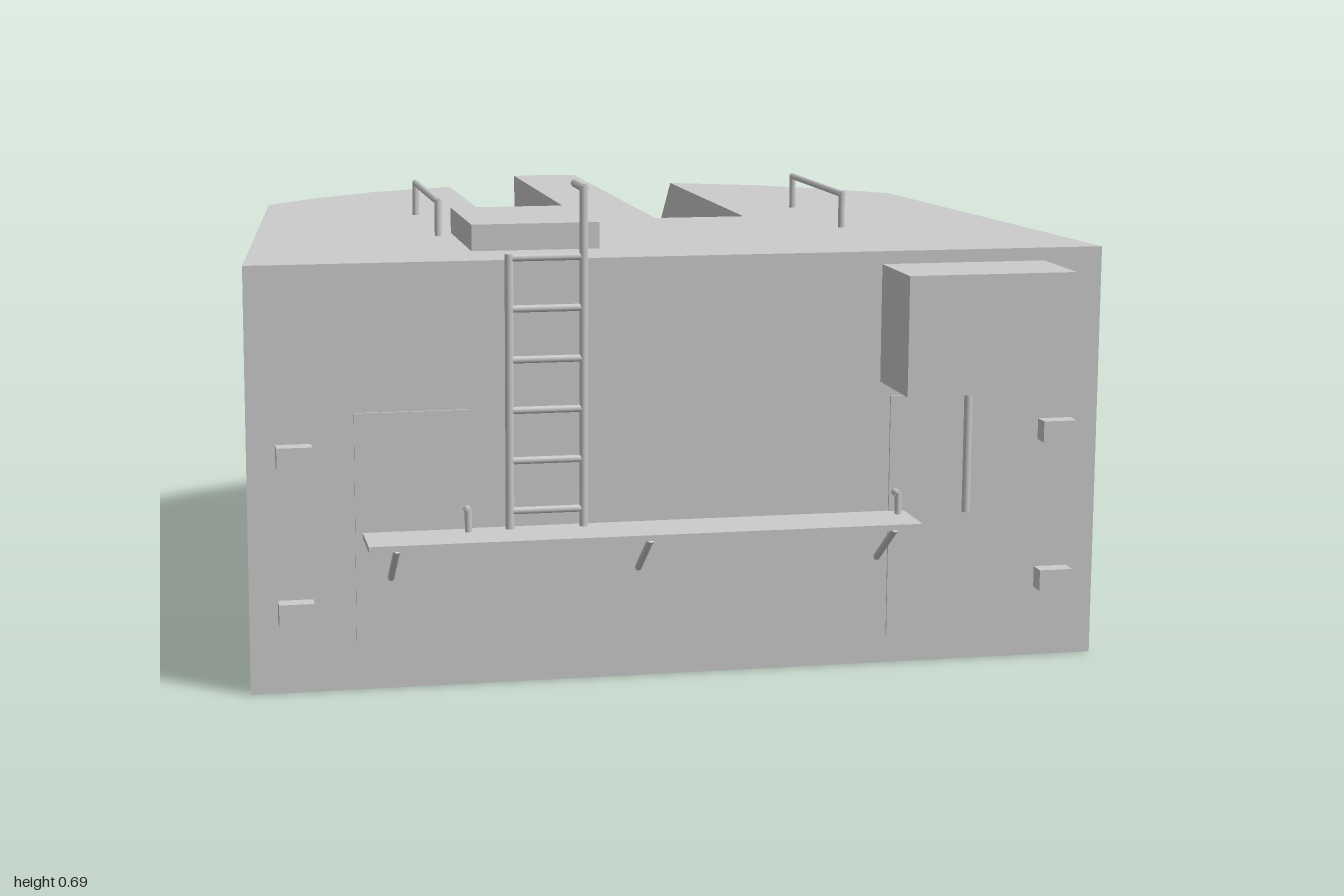
import * as THREE from 'three';

const flat = new THREE.MeshStandardMaterial({ color: 0xcccccc, flatShading: true });
const smooth = new THREE.MeshStandardMaterial({ color: 0xcccccc });

function add(parent, name, geometry, material = flat) {
  const mesh = new THREE.Mesh(geometry, material);
  mesh.name = name;
  parent.add(mesh);
  return mesh;
}

// Box given by its min and max on each axis
function box(parent, name, [x0, x1], [y0, y1], [z0, z1]) {
  const mesh = add(parent, name, new THREE.BoxGeometry(x1 - x0, y1 - y0, z1 - z0));
  mesh.position.set((x0 + x1) / 2, (y0 + y1) / 2, (z0 + z1) / 2);
  return mesh;
}

// Bent rod: one thin cylinder per segment
function rod(parent, name, points, r = 0.005) {
  const group = new THREE.Group();
  group.name = name;
  const p = points.map(q => new THREE.Vector3(...q));
  for (let i = 0; i < p.length - 1; i++) {
    const dir = p[i + 1].clone().sub(p[i]);
    const mesh = add(group, name + 'Segment', new THREE.CylinderGeometry(r, r, dir.length() + r, 8), smooth);
    mesh.position.copy(p[i]).addScaledVector(dir, 0.5);
    mesh.quaternion.setFromUnitVectors(new THREE.Vector3(0, 1, 0), dir.normalize());
  }
  parent.add(group);
  return group;
}

// Mirror a half outline [x, z]; points on x = 0 are not repeated
const mirrored = half => [...half, ...half.filter(p => p[0] > 0).reverse().map(([x, z]) => [-x, z])];

// Solid from stacked outlines { y, pts }, closed at top and bottom
function loft(rings) {
  const pos = [];
  const n = rings[0].pts.length;
  const at = (k, i) => [rings[k].pts[i % n][0], rings[k].y, rings[k].pts[i % n][1]];
  const tri = (a, b, c) => pos.push(...a, ...b, ...c);
  for (let k = 0; k < rings.length - 1; k++) {
    for (let i = 0; i < n; i++) {
      const a = at(k, i), b = at(k, i + 1), c = at(k + 1, i + 1), d = at(k + 1, i);
      if (a[0] >= 0) { tri(a, d, b); tri(b, d, c); }
      else { tri(a, d, c); tri(a, c, b); }
    }
  }
  for (const [k, up] of [[0, false], [rings.length - 1, true]]) {
    const contour = rings[k].pts.map(p => new THREE.Vector2(...p));
    for (const [i, j, l] of THREE.ShapeUtils.triangulateShape(contour, [])) {
      const A = contour[i], B = contour[j], C = contour[l];
      const faceUp = (B.x - A.x) * (C.y - A.y) - (B.y - A.y) * (C.x - A.x) < 0;
      if (faceUp === up) tri(at(k, i), at(k, j), at(k, l));
      else tri(at(k, i), at(k, l), at(k, j));
    }
  }
  const g = new THREE.BufferGeometry();
  g.setAttribute('position', new THREE.Float32BufferAttribute(pos, 3));
  g.computeVertexNormals();
  return g;
}

function makeGun() {
  const gun = new THREE.Group();
  gun.name = 'gun';
  // Profile pieces as [radius, distance], split where the edge is sharp
  const lathe = (name, pts, sides = 20, mat = smooth) => {
    const mesh = add(gun, name, new THREE.LatheGeometry(pts.map(p => new THREE.Vector2(...p)), sides), mat);
    mesh.rotation.x = -Math.PI / 2;
    return mesh;
  };
  lathe('barrelSleeve', [[0.0475, 0], [0.0475, 0.49]]);
  lathe('barrelTaper', [[0.0475, 0.49], [0.032, 0.512]]);
  lathe('barrelTube', [[0.032, 0.51], [0.029, 1]]);
  lathe('muzzleFace', [[0.029, 1], [0.014, 1]]);
  lathe('bore', [[0.014, 1], [0.014, 0.9]]);
  lathe('boreEnd', [[0.014, 0.9], [0, 0.9]]);
  lathe('collar', [[0.05, -0.03], [0.063, -0.03], [0.063, 0], [0.055, 0.035], [0.0475, 0.05]], 8, flat);
  lathe('breech', [[0.055, -0.27], [0.055, -0.03]]);
  lathe('breechEnd', [[0, -0.3], [0.05, -0.3], [0.06, -0.29], [0.06, -0.26], [0, -0.26]], 8, flat);
  return gun;
}

export function createModel() {
  const model = new THREE.Group();
  model.name = 'gunTurret';

  // Shield: solid base, U-shaped upper housing with a sloped brow, central divider
  const side = [[0.36, -0.17], [0.48, -0.02], [0.54, 0.13], [0.6, 0.875]];
  const base = mirrored([[0, -0.295], [0.195, -0.26], ...side]);
  const wall = mirrored([[0.195, 0.42], [0.195, -0.26], ...side]);
  const roof = mirrored([[0.195, 0.42], [0.195, -0.11], [0.335, -0.045], [0.45, 0.05], [0.52, 0.125], [0.6, 0.875]]);
  add(model, 'shieldBase', loft([{ y: 0, pts: base }, { y: 0.17, pts: base }]));
  add(model, 'shieldHousing', loft([{ y: 0.17, pts: wall }, { y: 0.445, pts: wall }, { y: 0.588, pts: roof }]));
  const rib = mirrored([[0, -0.295], [0.055, -0.285], [0.055, 0.42]]);
  add(model, 'gunDivider', loft([{ y: 0.17, pts: rib }, { y: 0.588, pts: rib }]));

  for (const s of [-1, 1]) {
    const gun = makeGun();
    gun.position.set(s * 0.125, 0.363, 0);
    gun.rotation.x = 0.017;
    model.add(gun);

    // Sight boxes on the front quarters
    const sight = add(model, 'sightBox', new THREE.BoxGeometry(0.07, 0.11, 0.045));
    sight.position.set(s * 0.43, 0.32, -0.12);
    sight.rotation.y = s * 0.67;

    // Roof handrails
    const x = s * 0.303;
    rod(model, 'roofHandrail', [[x, 0.588, 0.59], [x, 0.638, 0.59], [x, 0.638, 0.31], [x, 0.588, 0.31]]);

    // Rear doors with handles, and corner blocks
    box(model, 'rearDoor', [s * 0.375 - 0.08, s * 0.375 + 0.08], [0.04, 0.385], [0.87, 0.878]);
    rod(model, 'doorHandle', [[x, 0.2, 0.875], [x, 0.2, 0.895], [x, 0.248, 0.895], [x, 0.248, 0.875]]);
    for (const y of [0.115, 0.33])
      box(model, 'cornerBlock', [s * 0.537 - 0.024, s * 0.537 + 0.024], [y - 0.015, y + 0.015], [0.87, 0.9]);
  }

  // Roof hatch, rear locker and its support post
  box(model, 'roofHatch', [-0.28, -0.1], [0.58, 0.625], [0.555, 0.775]);
  box(model, 'rearLocker', [0.28, 0.515], [0.405, 0.57], [0.87, 1]);
  rod(model, 'lockerPost', [[0.398, 0.225, 0.907], [0.398, 0.405, 0.907]], 0.006);

  // Rear platform on diagonal brackets
  box(model, 'platform', [-0.445, 0.318], [0.212, 0.22], [0.87, 0.96]);
  for (const x of [-0.407, -0.063, 0.28])
    rod(model, 'platformBracket', [[x, 0.155, 0.875], [x, 0.212, 0.955]]);

  // Ladder, with one rail rising into a grab handle
  const ladder = new THREE.Group();
  ladder.name = 'ladder';
  model.add(ladder);
  rod(ladder, 'ladderRail', [[-0.245, 0.22, 0.889], [-0.245, 0.595, 0.889]], 0.006);
  rod(ladder, 'ladderRail', [[-0.143, 0.22, 0.889], [-0.143, 0.685, 0.889], [-0.143, 0.685, 0.825]], 0.006);
  for (let i = 0; i < 6; i++) {
    const y = 0.245 + i * 0.0695;
    rod(ladder, 'ladderRung', [[-0.245, y, 0.889], [-0.143, y, 0.889]]);
  }
  return model;
}
